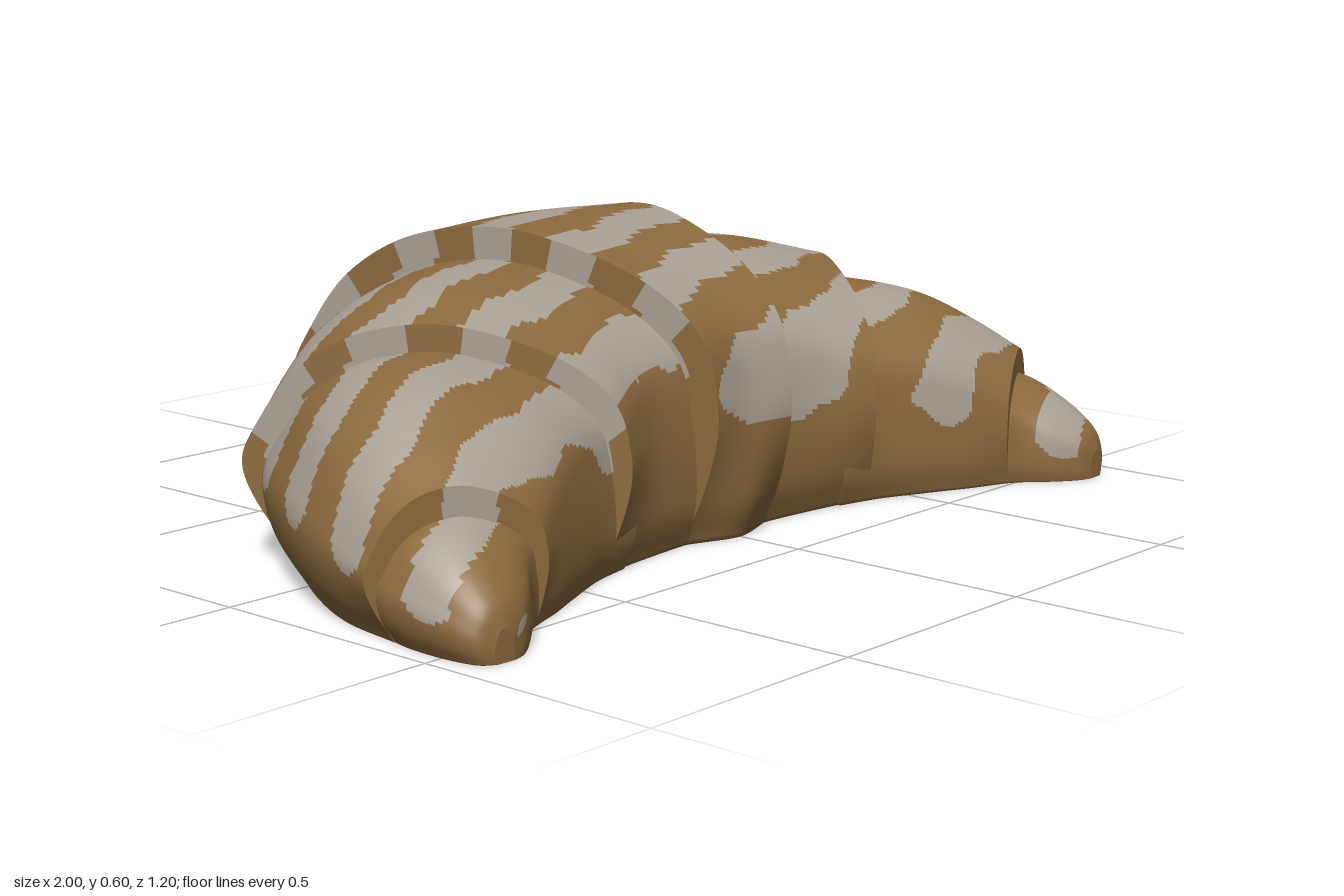
import * as THREE from 'three';

const crust = new THREE.MeshStandardMaterial({ color: 0x8d6a3e });
crust.name = 'baked crust';
const icing = new THREE.MeshStandardMaterial({ color: 0xa9a094 });
icing.name = 'pale icing';

// Cross-section: t runs from the inner to the outer edge, v is the share of the height
const arch = new THREE.CatmullRomCurve3([
  [0.03, 0], [0, 0.15], [0.01, 0.48], [0.05, 0.7], [0.15, 0.84], [0.3, 0.94], [0.5, 1],
  [0.7, 0.95], [0.85, 0.81], [0.95, 0.6], [1, 0.42], [0.975, 0.2], [0.89, 0],
].map(([t, v]) => new THREE.Vector3(t, v, 0)));
const profile = arch.getSpacedPoints(138);
for (let i = 1; i < 7; i++) profile.push(new THREE.Vector3(0.89 - 0.123 * i, 0, 0));

// One closed ring between an inner point (y = height) and an outer point (y = pinch of the foot)
function makeRing(inner, outer, scale = 1) {
  const h = inner.y;
  const points = profile.map(({ x, y }) => {
    const foot = 1 - outer.y * (1 - THREE.MathUtils.smoothstep(y, 0, 0.5));
    const t = 0.5 + (x - 0.5) * scale * foot;
    return new THREE.Vector3(
      THREE.MathUtils.lerp(inner.x, outer.x, t),
      Math.max(0, y) * h * scale,
      THREE.MathUtils.lerp(inner.z, outer.z, t));
  });
  return { points, h };
}

// Slanted, slightly wavy icing stripes that stop with rounded ends above the base
function isIced(p, h) {
  const wave = 0.01 * Math.sin(p.x * 26 + p.z * 6) + 0.003 * Math.sin(p.x * 55 + 1);
  const s = (p.z + 0.27 * p.x - 0.03 + wave) / 0.186;
  const d = Math.abs(s - Math.round(s)) / 0.25;
  return d < 1 && p.y / h > 0.38 + 0.13 * d * d;
}

// Skin over a row of rings, with its faces sorted into crust and icing
function loft(rings, name) {
  const n = profile.length;
  const positions = rings.flatMap((r) => r.points.flatMap((p) => p.toArray()));
  const plain = [], iced = [];
  const mid = new THREE.Vector3();
  for (let i = 0; i < rings.length - 1; i++) {
    for (let j = 0; j < n; j++) {
      const k = (j + 1) % n;
      const a = i * n + j, b = (i + 1) * n + j, c = (i + 1) * n + k, d = i * n + k;
      mid.copy(rings[i].points[j]).add(rings[i + 1].points[k]).multiplyScalar(0.5);
      const h = (rings[i].h + rings[i + 1].h) / 2;
      (isIced(mid, h) ? iced : plain).push(a, b, c, a, c, d);
    }
  }
  const geometry = new THREE.BufferGeometry();
  geometry.setAttribute('position', new THREE.Float32BufferAttribute(positions, 3));
  geometry.setIndex([...plain, ...iced]);
  geometry.addGroup(0, plain.length, 0);
  geometry.addGroup(plain.length, iced.length, 1);
  geometry.computeVertexNormals();
  const mesh = new THREE.Mesh(geometry, [crust, icing]);
  mesh.name = name;
  return mesh;
}

// A dough layer; each station is [inner x, inner z, outer x, outer z, height, foot pinch]
function makeLayer(name, stations, steps, lip = 0.72) {
  const layer = new THREE.Group();
  layer.name = name;
  const inner = new THREE.CatmullRomCurve3(stations.map((s) => new THREE.Vector3(s[0], s[4], s[1])));
  const outer = new THREE.CatmullRomCurve3(stations.map((s) => new THREE.Vector3(s[2], s[5], s[3])));
  const rings = [];
  for (let i = 0; i <= steps; i++) {
    rings.push(makeRing(inner.getPoint(i / steps), outer.getPoint(i / steps)));
  }
  layer.add(loft(rings, name + 'Skin'));
  // cut edges of the dough sheet at both ends
  for (const u of [0, 1]) {
    const edge = [];
    for (let i = 0; i <= 3; i++) {
      const f = u ? i / 3 : 1 - i / 3;
      edge.push(makeRing(inner.getPoint(u), outer.getPoint(u), 1 - f * (1 - lip)));
    }
    layer.add(loft(edge, name + 'Edge'));
  }
  return layer;
}

// The same layer on the other side, stations reversed so faces still point out
const mirror = (stations) =>
  stations.map(([a, b, c, d, h, pinch]) => [-a, b, -c, d, h, pinch]).reverse();

export function createModel() {
  const model = new THREE.Group();
  model.name = 'croissant';

  model.add(makeLayer('middleLayer', [
    [-0.11, 0.4, -0.35, -0.565, 0.595, 0.12],
    [0, 0.385, 0, -0.6, 0.6, 0],
    [0.11, 0.4, 0.35, -0.565, 0.595, 0.12],
  ], 70));

  const sideLayers = [
    ['shoulderLayer', 56, 0.72, [
      [0.06, 0.345, 0.22, -0.53, 0.53, 0],
      [0.13, 0.345, 0.36, -0.485, 0.53, 0],
      [0.25, 0.36, 0.58, -0.37, 0.515, 0.02],
      [0.37, 0.41, 0.795, -0.205, 0.47, 0.13],
    ]],
    ['armLayer', 56, 0.72, [
      [0.32, 0.365, 0.7, -0.25, 0.42, 0],
      [0.42, 0.385, 0.81, -0.12, 0.415, 0],
      [0.54, 0.43, 0.91, 0.06, 0.385, 0],
      [0.63, 0.47, 0.965, 0.2, 0.33, 0.02],
      [0.7, 0.505, 1, 0.35, 0.265, 0.13],
    ]],
    ['tip', 30, 0, [
      [0.66, 0.47, 0.965, 0.3, 0.225, 0],
      [0.74, 0.505, 0.985, 0.4, 0.2, 0],
      [0.8, 0.555, 0.98, 0.52, 0.145, 0],
      [0.85, 0.588, 0.96, 0.575, 0.1, 0],
      [0.885, 0.598, 0.93, 0.595, 0.06, 0],
    ]],
  ];
  for (const [name, steps, lip, stations] of sideLayers) {
    model.add(makeLayer(name + 'Left', stations, steps, lip));
    model.add(makeLayer(name + 'Right', mirror(stations), steps, lip));
  }
  return model;
}
